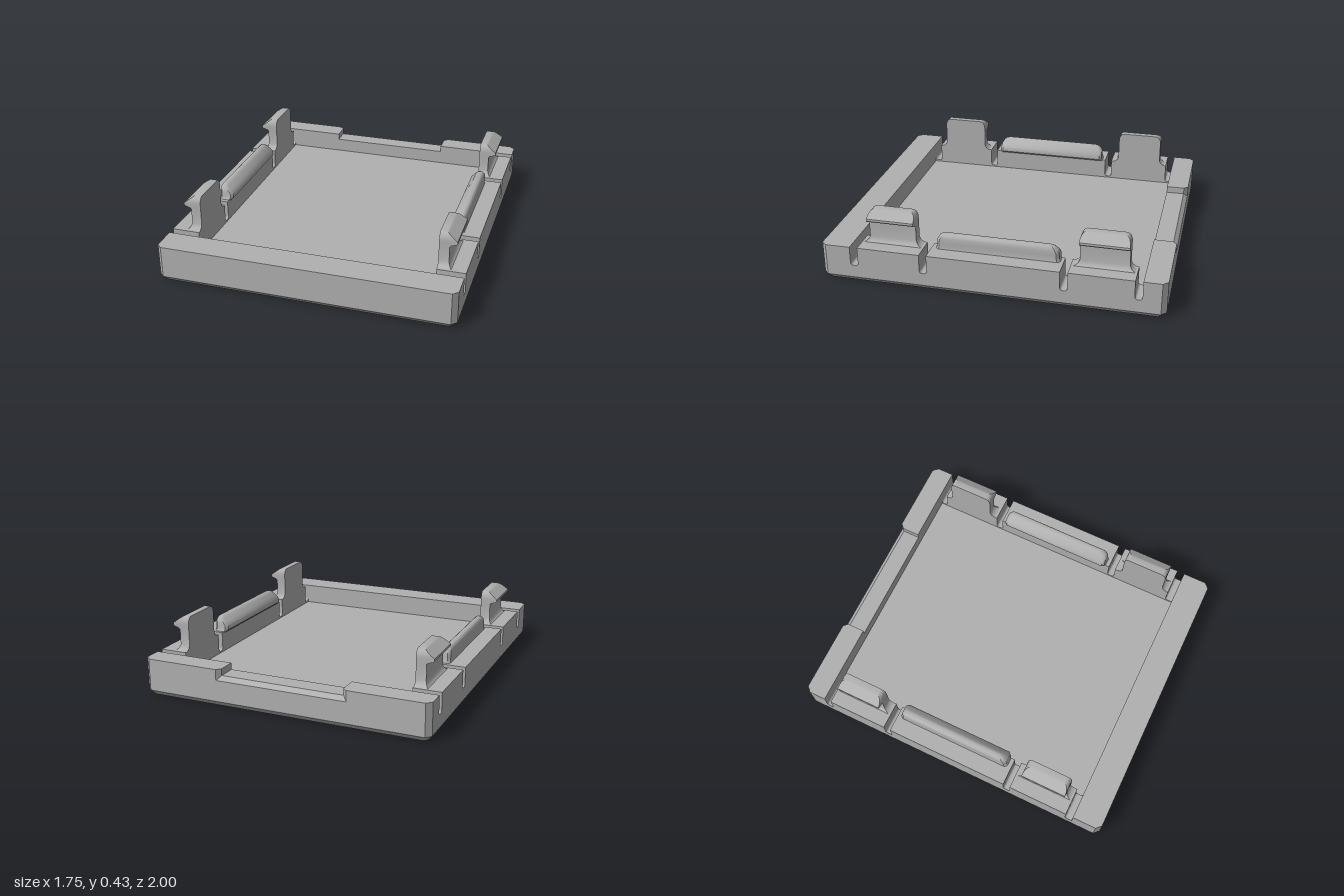
import * as THREE from 'three';
import { toCreasedNormals } from 'three/addons/utils/BufferGeometryUtils.js';

const FLOOR = 0.1, RIM = 0.225;
const HX = 0.875, IX = 0.709;          // outer and inner half width
const BACK = -0.866, FRONT = 0.823;    // inner ends of the tray

// Solid through horizontal convex rings, bottom to top: [y, [[x, z], ...]], counter-clockwise from above
function loft(rings, crease = 0.6) {
  const pos = [];
  const tri = (...pts) => pts.forEach((p) => pos.push(...p));
  const r3 = rings.map(([y, ring]) => ring.map(([x, z]) => [x, y, z]));
  const n = r3[0].length;
  for (let k = 0; k + 1 < r3.length; k++) {
    for (let i = 0; i < n; i++) {
      const j = (i + 1) % n, a = r3[k], b = r3[k + 1];
      tri(a[i], a[j], b[j]);
      tri(a[i], b[j], b[i]);
    }
  }
  const lo = r3[0], hi = r3[r3.length - 1];
  for (let i = 1; i + 1 < n; i++) {
    tri(hi[0], hi[i], hi[i + 1]);
    tri(lo[0], lo[i + 1], lo[i]);
  }
  const g = new THREE.BufferGeometry();
  g.setAttribute('position', new THREE.Float32BufferAttribute(pos, 3));
  return toCreasedNormals(g, crease);
}

// Rectangle with cut corners
const octagon = (x0, x1, z0, z1, c) => [
  [x1 - c, z1], [x1, z1 - c], [x1, z0 + c], [x1 - c, z0],
  [x0 + c, z0], [x0, z0 + c], [x0, z1 - c], [x0 + c, z1],
];

// Mirror a ring in x and keep its turning direction
const mirror = (ring, s) => (s > 0 ? ring : ring.map(([x, z]) => [-x, z]).reverse());

// Extrude a (z, y) shape along x from x0 to x1
function extrudeX(shape, x0, x1) {
  const g = new THREE.ExtrudeGeometry(shape, { depth: x1 - x0, bevelEnabled: false, curveSegments: 5 });
  return g.rotateY(-Math.PI / 2).translate(x1, 0, 0);
}

// Side wall profile with round-bottomed relief slots
function sideWallShape() {
  const slots = [[0.777, FRONT], [0.363, 0.406], [-0.45, -0.407], [BACK, -0.823]];
  const y = 0.11, r = 0.018;
  const s = new THREE.Shape();
  s.moveTo(BACK, FLOOR);
  s.lineTo(FRONT, FLOOR);
  slots.forEach(([a, b], i) => {
    const last = i === slots.length - 1;
    if (i > 0) s.lineTo(b, RIM);
    s.lineTo(b, y + r);
    s.quadraticCurveTo(b, y, b - r, y);
    s.lineTo(a + r, y);
    s.quadraticCurveTo(a, y, a, y + r);
    if (!last) s.lineTo(a, RIM);
  });
  s.closePath();
  return s;
}

// Snap clip: [y, outer x, half length]
const CLIP = [
  [0.222, 0.792, 0.178], [0.23, 0.782, 0.16], [0.24, 0.774, 0.148], [0.258, 0.769, 0.14],
  [0.35, 0.769, 0.14], [0.357, 0.777, 0.14], [0.366, 0.806, 0.14], [0.373, 0.813, 0.14],
  [0.386, 0.812, 0.14], [0.402, 0.79, 0.138], [0.418, 0.768, 0.13], [0.426, 0.757, 0.121], [0.43, 0.75, 0.11],
];

// Ridge on the side wall: [y, inner x, outer x, half length]
const RIDGE = [
  [0.222, 0.7, 0.776, 0.364], [0.235, 0.687, 0.773, 0.357], [0.264, 0.687, 0.773, 0.355],
  [0.285, 0.704, 0.773, 0.352], [0.302, 0.719, 0.77, 0.342], [0.314, 0.729, 0.764, 0.326], [0.32, 0.737, 0.755, 0.305],
];

export function createModel() {
  const group = new THREE.Group();
  const grey = new THREE.MeshStandardMaterial({ color: 0xb0b0b0 });
  grey.name = 'grey plastic';
  const add = (name, geometry) => {
    const m = new THREE.Mesh(geometry, grey);
    m.name = name;
    group.add(m);
  };

  // Floor with chamfered lower edge
  const c = 0.03;
  const outline = octagon(-HX, HX, -1, 1, c);
  add('floor', loft([
    [0, octagon(-HX + c, HX - c, -1 + c, 1 - c, c * 0.6)],
    [0.033, outline], [FLOOR, outline],
  ], 0.3));

  // End walls
  const frontRing = [[HX - c, 1], [HX, 1 - c], [HX, FRONT], [-HX, FRONT], [-HX, 1 - c], [-HX + c, 1]];
  add('frontWall', loft([[FLOOR, frontRing], [RIM, frontRing]], 0.3));
  const backRing = [[HX, BACK], [HX, -1 + c], [HX - c, -1], [-HX + c, -1], [-HX, -1 + c], [-HX, BACK]];
  add('backWall', loft([[FLOOR, backRing], [0.16, backRing]], 0.3));

  // Finger notch in the back wall, with a bevelled outer edge
  const notch = new THREE.Shape([[-1, 0.16], [BACK, 0.16], [BACK, 0.185], [-0.975, 0.185]]
    .map(([z, y]) => new THREE.Vector2(z, y)));
  add('backNotch', extrudeX(notch, -0.4, 0.4));

  const wall = sideWallShape();
  for (const s of [1, -1]) {
    const side = s > 0 ? 'left' : 'right';

    // Raised back wall beside the notch
    const shoulder = mirror([[HX, BACK], [HX, -1 + c], [HX - c, -1], [0.4, -1], [0.375, -0.975], [0.375, BACK]], s);
    add(side + 'BackShoulder', loft([[0.16, shoulder], [RIM, shoulder]], 0.3));

    // Slotted side wall
    add(side + 'SideWall', s > 0 ? extrudeX(wall, IX, HX) : extrudeX(wall, -HX, -IX));

    // Long ridge between the clips
    add(side + 'Ridge', loft(RIDGE.map(([y, xi, xo, h]) =>
      [y, mirror(octagon(xi, xo, -0.025 - h, -0.025 + h, Math.min(0.015, (xo - xi) * 0.3)), s)]), 0.7));

    // Snap clips
    for (const [end, z] of [['Front', 0.593], ['Back', -0.638]]) {
      add(side + end + 'Clip', loft(CLIP.map(([y, xo, h]) =>
        [y, mirror([[xo, z + h], [xo, z - h], [IX, z - h], [IX, z + h]], s)]), 0.6));
    }
  }
  return group;
}
